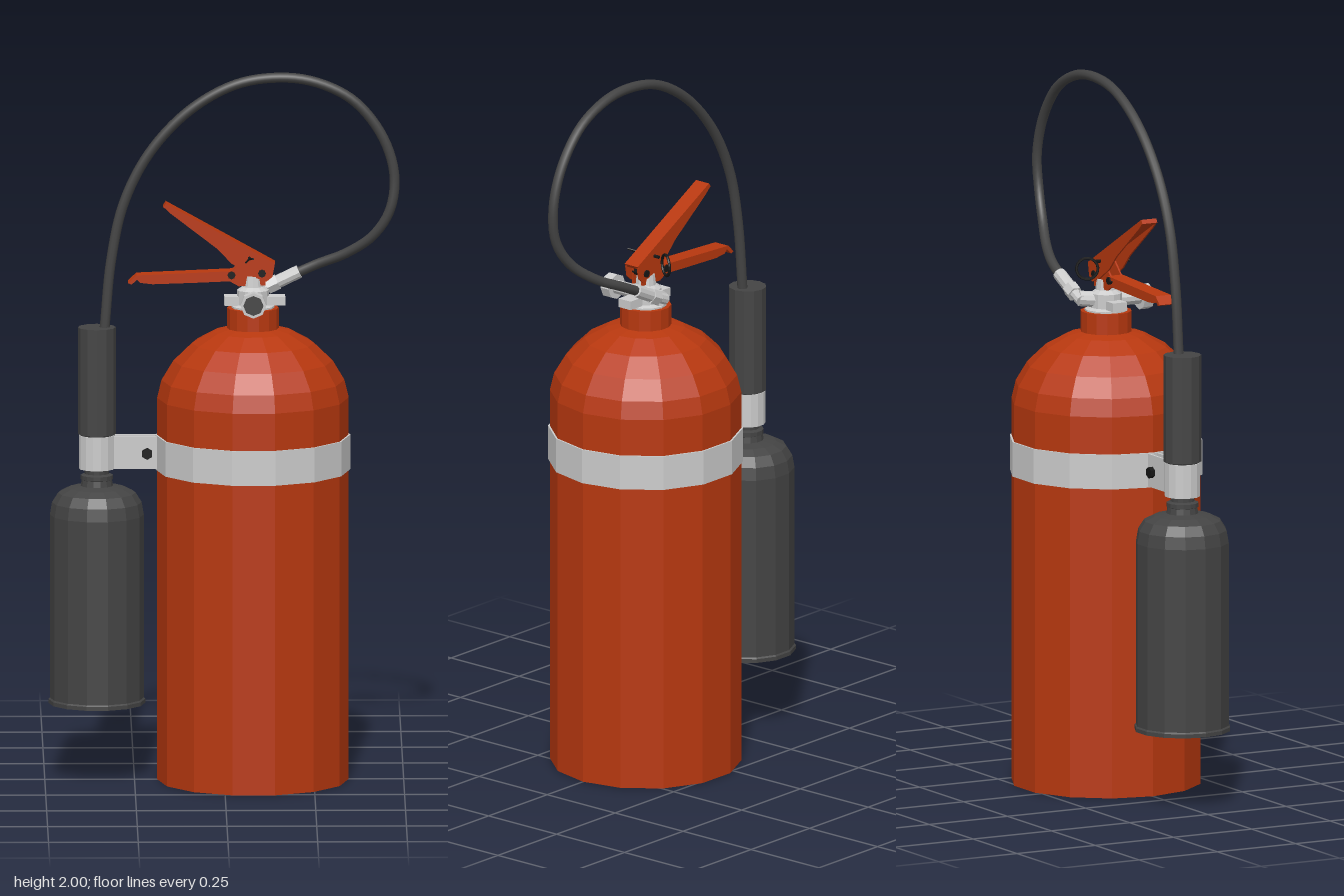
import * as THREE from 'three';

const TANK_X = 0.08, HORN_X = -0.355, SIDES = 14;
const mat = (color, extra = {}) => new THREE.MeshStandardMaterial({ color, flatShading: true, ...extra });
const red = mat(0xb8380f), grey = mat(0xcccccc), dark = mat(0x444444), black = mat(0x161616);
const darkOpen = mat(0x444444, { side: THREE.DoubleSide });
const greyOpen = mat(0xcccccc, { side: THREE.DoubleSide });
const hoseMat = new THREE.MeshStandardMaterial({ color: 0x444444 });

export function createModel() {
  const model = new THREE.Group();
  model.name = 'fireExtinguisher';

  function add(name, geometry, material, x = 0, y = 0, z = 0) {
    const mesh = new THREE.Mesh(geometry, material);
    mesh.name = name;
    mesh.position.set(x, y, z);
    model.add(mesh);
    return mesh;
  }
  // Turned part from [radius, height] pairs, with a corner on the +x side
  function turned(name, profile, material, x, sides = SIDES) {
    const geo = new THREE.LatheGeometry(profile.map(p => new THREE.Vector2(...p)), sides);
    return add(name, geo.rotateY(Math.PI / 2), material, x);
  }
  // Straight rod between two points
  function rod(name, a, b, r1, r2, material, sides = 10) {
    const p = new THREE.Vector3(...a), q = new THREE.Vector3(...b);
    const dir = q.clone().sub(p);
    const mesh = add(name, new THREE.CylinderGeometry(r2, r1, dir.length(), sides), material);
    mesh.position.copy(p).add(q).multiplyScalar(0.5);
    mesh.quaternion.setFromUnitVectors(new THREE.Vector3(0, 1, 0), dir.normalize());
    return mesh;
  }
  // Side outline extruded along z
  function plate(name, points, depth, z, material) {
    const shape = new THREE.Shape(points.map(p => new THREE.Vector2(...p)));
    const geo = new THREE.ExtrudeGeometry(shape, { depth, bevelEnabled: false });
    return add(name, geo, material, 0, 0, z - depth / 2);
  }

  // Tank with domed shoulder and neck
  turned('tank', [[0, 0], [0.267, 0], [0.267, 1.08], [0.255, 1.13], [0.222, 1.185],
    [0.17, 1.235], [0.11, 1.268], [0.072, 1.277], [0.072, 1.335], [0, 1.335]], red, TANK_X);
  turned('tankBand', [[0.267, 0.877], [0.272, 0.877], [0.272, 0.975], [0.267, 0.975]], greyOpen, TANK_X);

  // Discharge horn, open at the bottom
  turned('horn', [[0.135, 0.217], [0.135, 0.228], [0.131, 0.232], [0.131, 0.75], [0.125, 0.785],
    [0.108, 0.812], [0.08, 0.826], [0.045, 0.832], [0.042, 0.85], [0, 0.85]], darkOpen, HORN_X);
  turned('hornCollar', [[0.034, 0.83], [0.034, 0.845], [0.045, 0.85], [0.045, 0.862], [0.034, 0.866],
    [0.034, 0.885]], darkOpen, HORN_X);
  turned('hornGrip', [[0, 0.88], [0.046, 0.88], [0.046, 0.975], [0.053, 0.978], [0.053, 1.28],
    [0, 1.28]], dark, HORN_X, 12);

  // Clip holding the horn grip to the tank band
  turned('clipRing', [[0.047, 0.88], [0.05, 0.88], [0.05, 0.975], [0.047, 0.975]], greyOpen, HORN_X);
  for (const s of [-1, 1]) {
    add('clipArm', new THREE.BoxGeometry(0.13, 0.093, 0.006), grey, -0.247, 0.927, s * 0.014);
    rod('clipBolt', [-0.215, 0.925, s * 0.014], [-0.215, 0.925, s * 0.03], 0.016, 0.016, black, 6);
  }

  // Valve body
  turned('valveBody', [[0, 1.33], [0.06, 1.33], [0.06, 1.34], [0.045, 1.345], [0.045, 1.385],
    [0.03, 1.395], [0.026, 1.425], [0, 1.425]], grey, TANK_X, 12);
  add('valveFlange', new THREE.BoxGeometry(0.17, 0.025, 0.045), grey, TANK_X + 0.005, 1.356, 0);

  // Front fitting with its cap
  const fy = 1.363;
  rod('frontStem', [TANK_X, fy, 0.02], [TANK_X, fy, 0.11], 0.02, 0.02, grey);
  rod('frontCap', [TANK_X, fy, 0.105], [TANK_X, fy, 0.135], 0.036, 0.036, grey, 8);
  rod('frontCapFace', [TANK_X, fy, 0.13], [TANK_X, fy, 0.137], 0.028, 0.028, dark, 8);

  // Rear outlet and hose coupling
  const outlet = [0.1, 1.372, -0.076];
  rod('outlet', [TANK_X, 1.365, -0.01], outlet, 0.022, 0.022, grey);
  rod('couplingElbow', [0.085, 1.367, -0.076], [0.14, 1.39, -0.076], 0.016, 0.016, grey);
  rod('couplingNut', [0.12, 1.38, -0.076], [0.15, 1.394, -0.076], 0.023, 0.023, grey, 6);
  rod('couplingSleeve', [0.15, 1.394, -0.076], [0.21, 1.423, -0.076], 0.019, 0.019, grey);

  // Hose looping over the top to the grip
  const path = new THREE.CatmullRomCurve3([
    [0.19, 1.413, -0.076], [0.26, 1.445, -0.07], [0.34, 1.48, -0.045], [0.415, 1.535, -0.015],
    [0.462, 1.61, 0], [0.474, 1.71, 0], [0.44, 1.82, 0], [0.36, 1.92, 0], [0.255, 1.972, 0],
    [0.15, 1.985, 0], [0.03, 1.965, 0], [-0.1, 1.89, 0], [-0.21, 1.77, 0], [-0.28, 1.63, 0],
    [-0.315, 1.47, 0], [-0.334, 1.27, 0],
  ].map(p => new THREE.Vector3(...p)));
  add('hose', new THREE.TubeGeometry(path, 90, 0.014, 10), hoseMat);

  // Squeeze lever: folded channel with a top skin and two cheeks
  plate('upperLeverTop', [[-0.17, 1.622], [-0.163, 1.633], [0.142, 1.463], [0.136, 1.454]], 0.048, 0, red);
  // Carrying handle: flat top with two cheeks
  plate('lowerLeverTop', [[-0.268, 1.408], [-0.245, 1.43], [0.03, 1.442], [0.03, 1.433],
    [-0.24, 1.421], [-0.258, 1.404]], 0.048, 0, red);
  for (const s of [-1, 1]) {
    plate('upperLeverCheek', [[-0.167, 1.622], [0.14, 1.457], [0.134, 1.425], [0.118, 1.412],
      [0.08, 1.425], [0.02, 1.463], [-0.02, 1.505], [-0.15, 1.605]], 0.005, s * 0.0215, red);
    plate('lowerLeverCheek', [[-0.25, 1.425], [0.02, 1.44], [0.06, 1.478], [0.115, 1.445],
      [0.115, 1.4], [0.04, 1.398], [0.015, 1.412], [-0.08, 1.408], [-0.2, 1.404],
      [-0.235, 1.408]], 0.005, s * 0.0165, red);
  }
  // Pivot rivets
  for (const [x, y] of [[0.02, 1.43], [0.105, 1.435]])
    rod('pivotRivet', [x, y, -0.028], [x, y, 0.028], 0.011, 0.011, black, 8);

  // Safety pin with pull ring and splayed tips
  rod('safetyPin', [0.07, 1.478, -0.04], [0.07, 1.478, 0.035], 0.005, 0.005, black, 6);
  for (const s of [-1, 1])
    rod('safetyPinTip', [0.07, 1.478, 0.03], [0.07 + s * 0.01, 1.478 + s * 0.005, 0.065], 0.003, 0.003, black, 6);
  const ring = add('pullRing', new THREE.TorusGeometry(0.03, 0.004, 6, 20), black, 0.07, 1.46, -0.066);
  ring.rotation.set(0, Math.PI / 2, 0.5);
  ring.rotation.y -= 0.5;

  return model;
}
